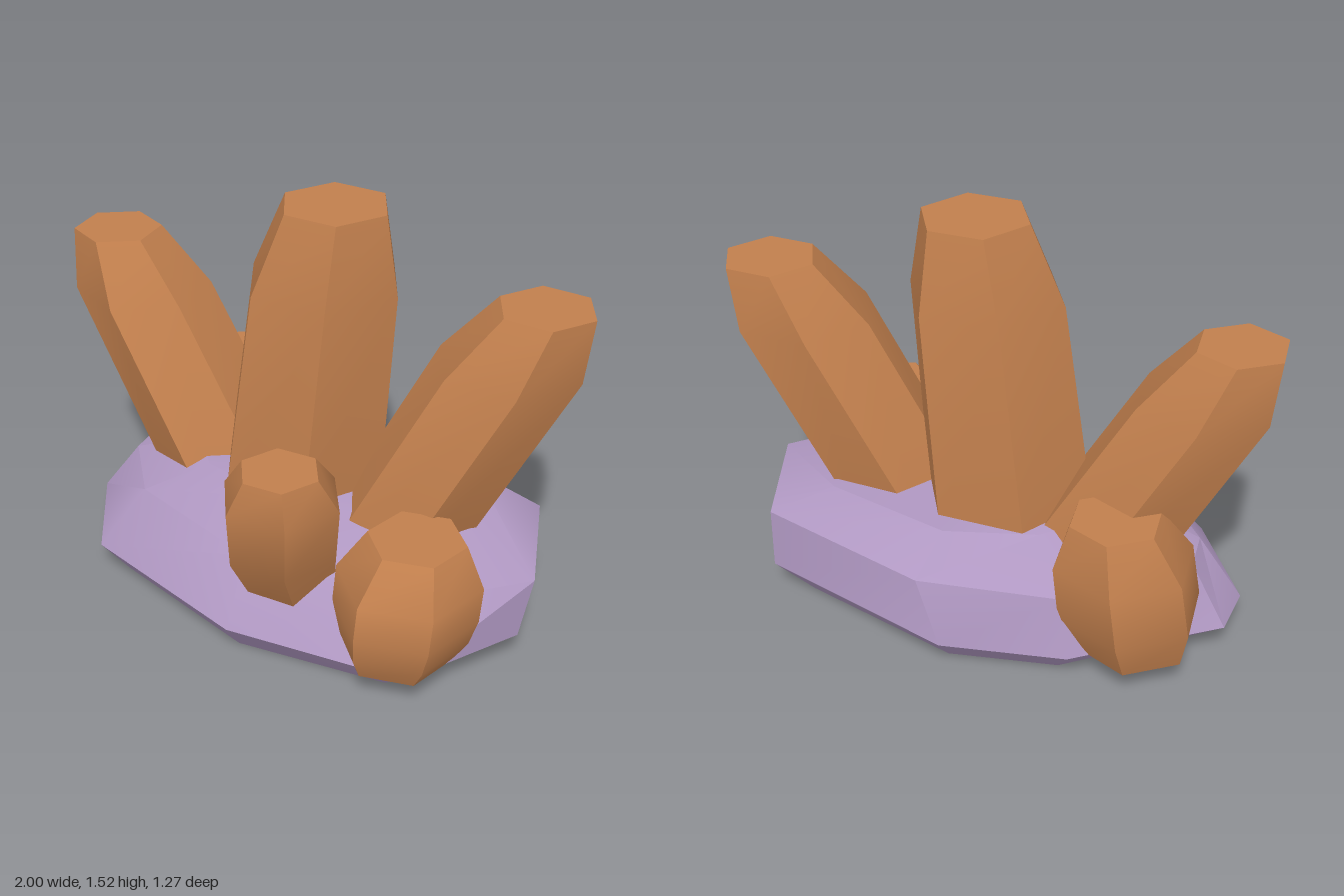
import * as THREE from 'three';
import { toCreasedNormals } from 'three/addons/utils/BufferGeometryUtils.js';

// Closed solid through a stack of rings (bottom to top), each a loop of [x, y, z]
function loft(rings) {
  const pos = [];
  const n = rings[0].length;
  const tri = (a, b, c) => pos.push(...a, ...b, ...c);
  const middle = (ring) => [0, 1, 2].map((k) => ring.reduce((s, p) => s + p[k], 0) / n);
  const bottom = rings[0], top = rings[rings.length - 1];
  const bottomMid = middle(bottom), topMid = middle(top);
  for (let i = 0; i < n; i++) {
    const j = (i + 1) % n;
    for (let k = 0; k < rings.length - 1; k++) {
      const lo = rings[k], hi = rings[k + 1];
      tri(lo[i], hi[i], lo[j]);
      tri(lo[j], hi[i], hi[j]);
    }
    tri(bottomMid, bottom[i], bottom[j]);
    tri(topMid, top[j], top[i]);
  }
  const geo = new THREE.BufferGeometry();
  geo.setAttribute('position', new THREE.Float32BufferAttribute(pos, 3));
  return toCreasedNormals(geo, 0.6);
}

// Six points round a centre, first one at the given angle in degrees
function hexagon([x, y, z, r], degrees) {
  return Array.from({ length: 6 }, (_, i) => {
    const t = THREE.MathUtils.degToRad(degrees + i * 60);
    return [x + r * Math.cos(t), y, z + r * Math.sin(t)];
  });
}

// Crystals: turn in degrees, then sections [x, y, z, radius] from bottom to top
const CRYSTALS = {
  centreCrystal: [-11, [[-0.03, 0.3, -0.055, 0.33], [-0.02, 0.42, -0.06, 0.325],
    [0.066, 1.23, -0.07, 0.29], [0.1, 1.52, -0.085, 0.2]]],
  rightCrystal: [12.6, [[-0.36, 0.3, -0.04, 0.275], [-0.74, 1.0, 0.046, 0.256],
    [-0.84, 1.22, 0.073, 0.164]]],
  leftCrystal: [-9, [[0.4, 0.33, -0.1, 0.265], [0.733, 1.06, -0.26, 0.263],
    [0.827, 1.28, -0.315, 0.174]]],
  frontCrystal: [-15, [[0.23, 0.2, 0.28, 0.17], [0.26, 0.42, 0.37, 0.21],
    [0.315, 0.68, 0.43, 0.218], [0.34, 0.81, 0.465, 0.143]]],
  leftStub: [-26, [[0.69, 0.115, 0.25, 0.19], [0.7, 0.2, 0.245, 0.235],
    [0.71, 0.3, 0.24, 0.255], [0.712, 0.43, 0.225, 0.255], [0.71, 0.565, 0.187, 0.172]]],
  backRightStub: [-48, [[-0.64, 0.12, -0.22, 0.21], [-0.625, 0.27, -0.235, 0.262],
    [-0.605, 0.48, -0.255, 0.255], [-0.585, 0.65, -0.285, 0.165]]],
};

// Rock sections: height, then [x, z] corners
const ROCK = [
  [0, [[0.8, -0.08], [0.68, 0.3], [0.15, 0.48], [-0.48, 0.43], [-0.73, 0.17],
    [-0.72, 0], [-0.42, -0.37], [-0.05, -0.525], [0.6, -0.48]]],
  [0.12, [[0.955, -0.1], [0.81, 0.36], [0.17, 0.565], [-0.55, 0.51], [-0.86, 0.2],
    [-0.89, 0], [-0.5, -0.45], [-0.08, -0.625], [0.72, -0.56]]],
  [0.345, [[0.98, -0.14], [0.75, 0.22], [0.13, 0.42], [-0.45, 0.36], [-0.7, 0.16],
    [-0.75, 0], [-0.46, -0.42], [0.03, -0.6], [0.73, -0.545]]],
  [0.465, [[0.62, -0.13], [0.48, 0.04], [0.08, 0.2], [-0.26, 0.2], [-0.42, 0.08],
    [-0.45, -0.02], [-0.28, -0.28], [0.02, -0.44], [0.52, -0.42]]],
];

export function createModel() {
  const model = new THREE.Group();
  model.name = 'crystalCluster';
  const crystal = new THREE.MeshStandardMaterial({ color: 0xc17f4d });
  crystal.name = 'copper crystal';
  const stone = new THREE.MeshStandardMaterial({ color: 0xb098c2 });
  stone.name = 'lavender stone';

  const add = (name, geometry, material) => {
    const mesh = new THREE.Mesh(geometry, material);
    mesh.name = name;
    model.add(mesh);
  };

  // Faceted base
  add('rockBase', loft(ROCK.map(([y, corners]) => corners.map(([x, z]) => [x, y, z]))), stone);

  // Leaning six-sided crystals with flat tips
  for (const [name, [turn, sections]] of Object.entries(CRYSTALS)) {
    add(name, loft(sections.map((s) => hexagon(s, turn))), crystal);
  }
  return model;
}
